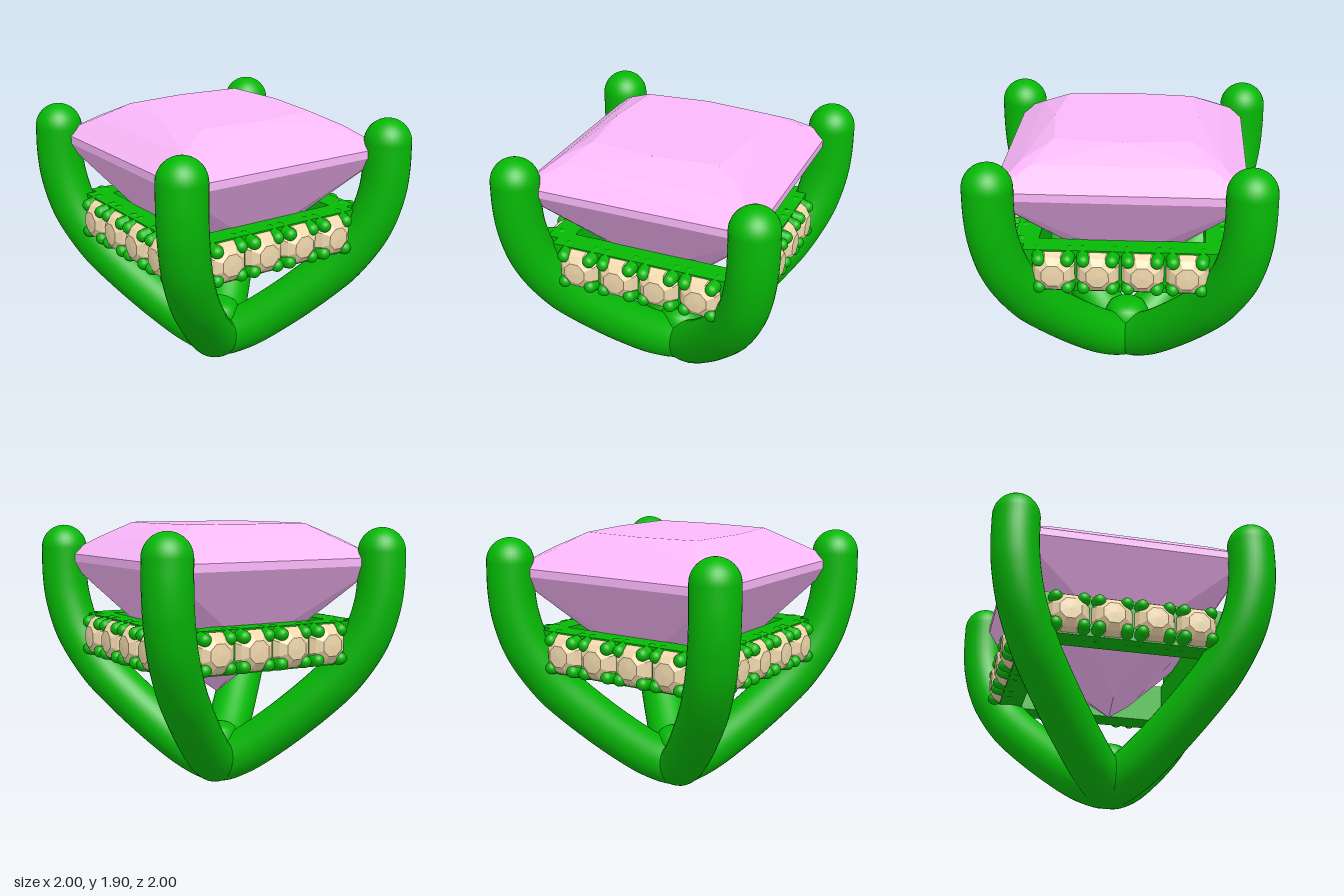
import * as THREE from 'three';
import { ConvexGeometry } from 'three/addons/geometries/ConvexGeometry.js';

const green = new THREE.MeshStandardMaterial({ color: 0x06b806 });
const pink = new THREE.MeshStandardMaterial({ color: 0xfbb8fb, flatShading: true });
const cream = new THREE.MeshStandardMaterial({ color: 0xf0d8ac, flatShading: true });

function add(parent, name, geometry, material, x = 0, y = 0, z = 0) {
  const mesh = new THREE.Mesh(geometry, material);
  mesh.name = name;
  mesh.position.set(x, y, z);
  parent.add(mesh);
  return mesh;
}

// Square-cut centre stone: convex hull of a few symmetric rings
function gemGeometry() {
  const points = [new THREE.Vector3(0, 0.675, 0)];
  const ring = (a, b, y) => {
    for (const [u, v] of [[a, b], [b, a]])
      for (const sx of [-1, 1])
        for (const sz of [-1, 1]) {
          const p = new THREE.Vector3(u * sx, y, v * sz);
          if (!points.some((q) => q.distanceTo(p) < 1e-4)) points.push(p);
        }
  };
  ring(0.45, 0.45, 1.905); // table corners
  ring(0, 0.495, 1.905); // table sides
  ring(0.58, 0.655, 1.8); // crown break
  ring(0.82, 0.82, 1.67); // girdle
  ring(0.82, 0.82, 1.615);
  ring(0.26, 0.56, 1.22); // pavilion
  ring(0, 0.29, 0.93);
  ring(0, 0.145, 0.775);
  return new ConvexGeometry(points);
}

// Small brilliant-cut stone with its table facing +z
function smallStoneGeometry() {
  const profile = [[0, -0.1], [0.15, -0.01], [0.152, 0.02], [0.128, 0.06], [0.08, 0.095], [0, 0.1]];
  const g = new THREE.LatheGeometry(profile.map(([r, y]) => new THREE.Vector2(r, y)), 8, Math.PI / 8);
  return g.rotateX(Math.PI / 2);
}

export function createModel() {
  const model = new THREE.Group();
  const R = 0.165;

  add(model, 'centreStone', gemGeometry(), pink);

  // Two crossing bows, each joining opposite corner claws: [distance along x and z, height]
  const half = [[0.12, 0.225], [0.31, 0.41], [0.55, 0.7], [0.645, 0.84], [0.765, 1.1], [0.82, 1.34], [0.835, 1.52], [0.835, 1.715]];
  const path = [...half.map(([d, y]) => [-d, y]).reverse(), [0, 0.165], ...half];
  const curve = new THREE.CatmullRomCurve3(path.map(([d, y]) => new THREE.Vector3(d, y, d)));
  const bowGeo = new THREE.TubeGeometry(curve, 140, R, 32);
  for (let i = 0; i < 2; i++) add(model, 'clawBow', bowGeo, green).rotation.y = (i * Math.PI) / 2;

  const tipGeo = new THREE.SphereGeometry(R, 32, 20);
  const railGeo = new THREE.BoxGeometry(1.3, 0.3, 0.17);
  const stoneGeo = smallStoneGeometry();
  const beadGeo = new THREE.CapsuleGeometry(0.044, 0.1, 8, 14).rotateX(Math.PI / 2);

  for (let i = 0; i < 4; i++) {
    const side = new THREE.Group();
    side.name = 'side' + (i + 1);
    side.rotation.y = (i * Math.PI) / 2;
    model.add(side);

    add(side, 'clawTip', tipGeo, green, 0.835, 1.715, 0.835);

    // Rail with four stones, each held by four beads leaning over its edge
    add(side, 'rail', railGeo, green, 0, 1.08, 0.645);
    for (let k = 0; k < 4; k++) {
      const x = (k - 1.5) * 0.296;
      add(side, 'railStone', stoneGeo, cream, x, 1.08, 0.72);
      for (const sx of [-1, 1])
        for (const sy of [-1, 1]) {
          const bead = add(side, 'bead', beadGeo, green, x + sx * 0.1, 1.08 + sy * 0.107, 0.725);
          bead.rotation.set(sy * 0.15, -sx * 0.1, 0);
        }
    }
  }

  // Rounded filling in the crotch where the bows cross
  const core = [[0, 0.1], [0.15, 0.2], [0.165, 0.3], [0.16, 0.36], [0.135, 0.41], [0.1, 0.435], [0.05, 0.443], [0, 0.443]];
  add(model, 'baseCore', new THREE.LatheGeometry(core.map(([r, y]) => new THREE.Vector2(r, y)), 32), green);

  return model;
}
